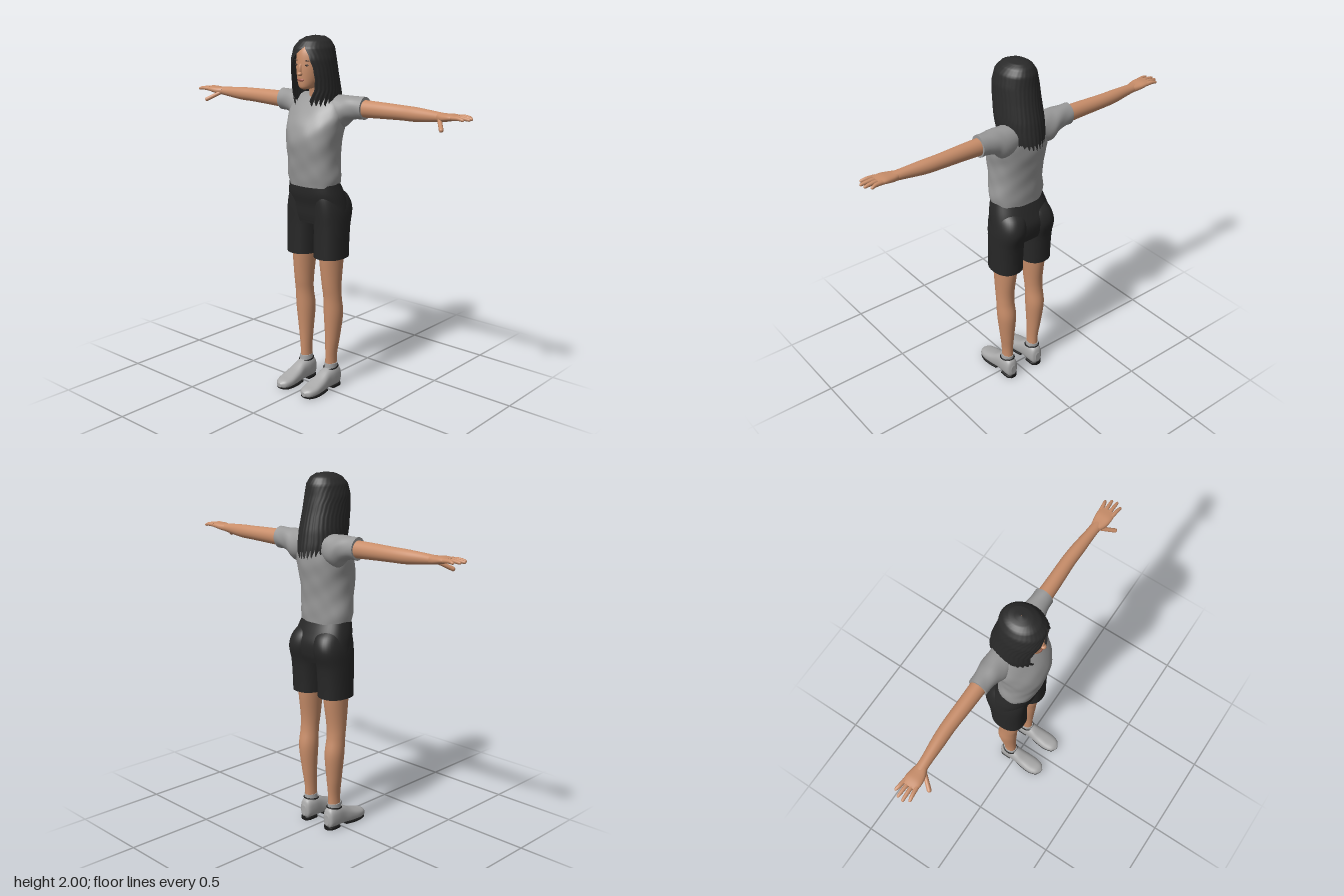
import * as THREE from 'three';

const flat = (name, color, side = THREE.FrontSide) => {
  const m = new THREE.MeshStandardMaterial({ color, side });
  m.name = name;
  return m;
};

// indexed geometry with smooth normals
function indexed(pos, idx) {
  const g = new THREE.BufferGeometry();
  g.setAttribute('position', new THREE.Float32BufferAttribute(pos, 3));
  g.setIndex(idx);
  g.computeVertexNormals();
  return g;
}

// smooth loft through stations [cx, cy, cz, a, b], rings perpendicular to an axis, flat caps
function loft(axis, stations, { n = 2, seg = 28, rows = 6, warp } = {}) {
  const centre = new THREE.CatmullRomCurve3(stations.map(s => new THREE.Vector3(s[0], s[1], s[2])), false, 'catmullrom', 0.5);
  const size = new THREE.CatmullRomCurve3(stations.map(s => new THREE.Vector3(s[3], s[4], 0)), false, 'catmullrom', 0.5);
  const count = (stations.length - 1) * rows, pos = [], idx = [];
  const bend = v => Math.sign(v) * Math.abs(v) ** (2 / n);
  for (let i = 0; i <= count; i++) {
    const c = centre.getPoint(i / count), r = size.getPoint(i / count);
    for (let j = 0; j < seg; j++) {
      const t = (j / seg) * Math.PI * 2;
      const k = warp ? warp(t, c) : 1;
      const p = r.x * bend(Math.cos(t)) * k, q = r.y * bend(Math.sin(t)) * k;
      if (axis === 'y') pos.push(c.x + p, c.y, c.z + q);
      else if (axis === 'x') pos.push(c.x, c.y + p, c.z - q);
      else pos.push(c.x + p, c.y - q, c.z);
    }
  }
  for (let i = 0; i < count; i++) for (let j = 0; j < seg; j++) {
    const a = i * seg + j, b = i * seg + (j + 1) % seg;
    idx.push(a, a + seg, b, b, a + seg, b + seg);
  }
  for (const end of [0, count]) {
    const base = pos.length / 3, c = centre.getPoint(end / count);
    pos.push(...pos.slice(end * seg * 3, (end + 1) * seg * 3), c.x, c.y, c.z);
    for (let j = 0; j < seg; j++) {
      const a = base + j, b = base + (j + 1) % seg;
      if (end) idx.push(base + seg, b, a); else idx.push(base + seg, a, b);
    }
  }
  return indexed(pos, idx);
}

function mirrored(geo) {
  const g = geo.clone().scale(-1, 1, 1), ix = g.index.array;
  for (let i = 0; i < ix.length; i += 3) [ix[i], ix[i + 1]] = [ix[i + 1], ix[i]];
  return g;
}

const blob = (x, y, z, sx, sy, sz) => new THREE.SphereGeometry(1, 16, 12).scale(sx, sy, sz).translate(x, y, z);

// linear lookup in a table of rows [y, ...values], y falling
function lookup(table, y) {
  let i = 0;
  while (i < table.length - 2 && table[i + 1][0] > y) i++;
  const a = table[i], b = table[i + 1];
  const t = THREE.MathUtils.clamp((a[0] - y) / (a[0] - b[0]), 0, 1);
  return a.map((v, k) => v + (b[k] - v) * t);
}

// hair shell: open around the face, ragged at the ends
function hairGeometry() {
  // y, half width, front z, back z
  const shape = [[2, 0.002, -0.008, -0.012], [1.993, 0.045, 0.045, -0.07], [1.975, 0.075, 0.085, -0.1],
    [1.94, 0.1, 0.118, -0.12], [1.88, 0.114, 0.132, -0.127], [1.8, 0.118, 0.13, -0.143],
    [1.7, 0.122, 0.118, -0.167], [1.62, 0.118, 0.1, -0.18], [1.54, 0.1, 0.09, -0.187]];
  // y, left and right edge of the opening
  const opening = [[1.945, 0.03, 0.03], [1.9, 0.058, -0.025], [1.84, 0.077, -0.066], [1.78, 0.083, -0.08],
    [1.72, 0.078, -0.075], [1.65, 0.045, -0.042]];
  const cols = 112, rows = 36, pos = [], idx = [];
  for (let i = 0; i <= rows; i++) for (let j = 0; j <= cols; j++) {
    const u = j / cols, v = i / rows;
    const bottom = 1.65 - 0.08 * Math.sin(Math.PI * u) ** 3;
    const ragged = 0.045 * Math.abs((j % 4) / 2 - 1) * (0.6 + 0.4 * Math.sin(j * 1.7)) - 0.015;
    const y = 2 - (2 - bottom) * v ** 1.6 + ragged * v ** 9;
    const [, w, f, b] = lookup(shape, y), [, l, r] = lookup(opening, y);
    const start = Math.asin(Math.min(l / w, 1)), end = Math.PI * 2 + Math.asin(THREE.MathUtils.clamp(r / w, -1, 1));
    const t = start + (end - start) * u, k = 1 + 0.012 * Math.sin(j * Math.PI / 2) * v;
    pos.push(w * Math.sin(t) * k, y, (f + b) / 2 + (f - b) / 2 * Math.cos(t) * k);
  }
  for (let i = 0; i < rows; i++) for (let j = 0; j < cols; j++) {
    const a = i * (cols + 1) + j, c = a + cols + 1;
    idx.push(a, c, a + 1, a + 1, c, c + 1);
  }
  return indexed(pos, idx);
}

export function createModel() {
  const root = new THREE.Group();
  root.name = 'standingWoman';
  const skin = flat('skin', 0xc98e6a), shirt = flat('shirtGrey', 0x999999), shoe = flat('shoeGrey', 0xa9a9a9);
  const black = flat('shortsBlack', 0x272727), hairMat = flat('hairBlack', 0x2a2a2a, THREE.DoubleSide);
  const sole = flat('soleBlack', 0x1c1c1c), lip = flat('lips', 0xa8604f), eye = flat('eyeDark', 0x40332c);

  const add = (name, geo, mat) => {
    const m = new THREE.Mesh(geo, mat);
    m.name = name;
    root.add(m);
  };
  const pair = (name, geo, mat) => {
    add(name + 'Left', geo, mat);
    add(name + 'Right', mirrored(geo), mat);
  };

  // head and face
  add('head', loft('y', [[0, 1.722, 0.062, 0.018, 0.03], [0, 1.735, 0.048, 0.042, 0.058], [0, 1.78, 0.022, 0.066, 0.088],
    [0, 1.85, 0.01, 0.08, 0.1], [0, 1.92, 0, 0.08, 0.1], [0, 1.965, -0.005, 0.055, 0.07], [0, 1.98, -0.005, 0.01, 0.015]]), skin);
  add('neck', loft('y', [[0, 1.62, -0.05, 0.065, 0.06], [0, 1.7, -0.04, 0.052, 0.055], [0, 1.78, -0.02, 0.05, 0.055]]), skin);
  add('noseBridge', blob(0, 1.828, 0.108, 0.009, 0.03, 0.012), skin);
  add('noseTip', blob(0, 1.804, 0.114, 0.014, 0.011, 0.015), skin);
  add('lips', blob(0, 1.772, 0.106, 0.023, 0.008, 0.008), lip);
  pair('eye', blob(0.034, 1.85, 0.1, 0.014, 0.005, 0.004), eye);
  pair('eyebrow', blob(0.035, 1.873, 0.099, 0.019, 0.0035, 0.004), eye);
  add('hair', hairGeometry(), hairMat);

  // shirt with gentle folds
  const folds = (t, c) => 1 + 0.012 * Math.sin(5 * t + c.y * 30) * Math.sin(c.y * 23) + 0.008 * Math.sin(9 * t - c.y * 41);
  add('shirtBody', loft('y', [[0, 1.195, -0.005, 0.15, 0.105], [0, 1.25, -0.002, 0.158, 0.112], [0, 1.34, 0.002, 0.151, 0.121],
    [0, 1.44, 0.002, 0.155, 0.134], [0, 1.52, -0.012, 0.168, 0.13], [0, 1.59, -0.032, 0.175, 0.108],
    [0, 1.645, -0.05, 0.16, 0.083], [0, 1.68, -0.058, 0.11, 0.062], [0, 1.697, -0.055, 0.068, 0.055]],
  { n: 2.3, seg: 56, warp: folds }), shirt);
  pair('sleeve', loft('x', [[0.07, 1.615, -0.062, 0.075, 0.07], [0.15, 1.603, -0.065, 0.086, 0.074],
    [0.2, 1.623, -0.067, 0.068, 0.064], [0.25, 1.63, -0.069, 0.06, 0.055], [0.295, 1.631, -0.07, 0.06, 0.052]],
  { warp: (t, c) => 1 + 0.015 * Math.sin(4 * t + c.x * 50) }), shirt);

  // arms and hands
  pair('arm', loft('x', [[0.26, 1.628, -0.07, 0.047, 0.043], [0.4, 1.63, -0.072, 0.043, 0.04], [0.53, 1.631, -0.075, 0.039, 0.037],
    [0.62, 1.631, -0.072, 0.037, 0.035], [0.72, 1.633, -0.066, 0.029, 0.029], [0.79, 1.635, -0.062, 0.022, 0.028]]), skin);
  pair('palm', loft('x', [[0.765, 1.634, -0.062, 0.022, 0.028], [0.8, 1.636, -0.058, 0.021, 0.039],
    [0.84, 1.641, -0.057, 0.018, 0.045], [0.88, 1.643, -0.057, 0.012, 0.042]], { n: 2.4 }), skin);
  [[-0.09, -0.1, 0.93], [-0.068, -0.072, 0.95], [-0.046, -0.043, 0.955], [-0.024, -0.014, 0.938]].forEach(([z0, z1, x], i) => {
    pair('finger' + (i + 1), loft('x', [[0.86, 1.643, z0, 0.012, 0.012], [0.9, 1.645, (z0 + z1) / 2, 0.0105, 0.0105],
      [x - 0.008, 1.641, z1, 0.008, 0.008], [x, 1.64, z1, 0.002, 0.002]], { seg: 12, rows: 4 }), skin);
  });
  const thumbFrom = new THREE.Vector3(0.785, 1.622, -0.035), thumbTo = new THREE.Vector3(0.833, 1.587, 0.02);
  const thumbDir = thumbTo.clone().sub(thumbFrom);
  const thumb = new THREE.CapsuleGeometry(0.0115, thumbDir.length(), 6, 12);
  thumb.applyQuaternion(new THREE.Quaternion().setFromUnitVectors(new THREE.Vector3(0, 1, 0), thumbDir.clone().normalize()));
  const mid = thumbFrom.clone().add(thumbTo).multiplyScalar(0.5);
  pair('thumb', thumb.translate(mid.x, mid.y, mid.z), skin);

  // shorts
  add('shortsHips', loft('y', [[0, 0.985, -0.038, 0.172, 0.1], [0, 1.03, -0.04, 0.183, 0.112], [0, 1.09, -0.038, 0.179, 0.118],
    [0, 1.15, -0.02, 0.17, 0.114], [0, 1.215, -0.003, 0.152, 0.1]], { n: 2.3, seg: 48 }), black);
  pair('shortsLeg', loft('y', [[0.0985, 0.792, -0.032, 0.087, 0.102], [0.0985, 0.88, -0.034, 0.087, 0.104],
    [0.0985, 0.97, -0.038, 0.087, 0.109], [0.096, 1.06, -0.047, 0.086, 0.122], [0.085, 1.13, -0.036, 0.08, 0.112],
    [0.075, 1.18, -0.01, 0.06, 0.08]], { n: 2.3, seg: 36 }), black);

  // legs
  pair('leg', loft('y', [[0.094, 0.1, -0.04, 0.031, 0.038], [0.095, 0.2, -0.04, 0.03, 0.039], [0.1, 0.31, -0.045, 0.04, 0.047],
    [0.104, 0.45, -0.047, 0.053, 0.058], [0.105, 0.55, -0.037, 0.051, 0.054], [0.103, 0.63, -0.031, 0.053, 0.06],
    [0.1, 0.76, -0.032, 0.06, 0.076], [0.099, 0.84, -0.032, 0.064, 0.082]]), skin);

  // shoes, socks and soles
  pair('sock', loft('y', [[0.094, 0.08, -0.038, 0.038, 0.045], [0.094, 0.12, -0.039, 0.035, 0.042], [0.095, 0.153, -0.04, 0.034, 0.042]]), shoe);
  pair('shoe', loft('z', [[0.094, 0.06, -0.1, 0.016, 0.03], [0.094, 0.067, -0.085, 0.036, 0.057], [0.094, 0.073, -0.04, 0.043, 0.063],
    [0.094, 0.066, 0.015, 0.043, 0.056], [0.094, 0.05, 0.07, 0.049, 0.042], [0.094, 0.038, 0.13, 0.051, 0.031],
    [0.093, 0.032, 0.175, 0.039, 0.024], [0.092, 0.029, 0.197, 0.012, 0.012]], { n: 2.5 }), shoe);
  pair('shoeRim', new THREE.TorusGeometry(0.038, 0.004, 8, 28).rotateX(Math.PI / 2 + 0.15).scale(1, 1, 1.15).translate(0.094, 0.126, -0.039), sole);
  pair('heel', loft('z', [[0.094, 0.011, -0.1, 0.018, 0.011], [0.094, 0.011, -0.08, 0.036, 0.011], [0.094, 0.011, -0.025, 0.038, 0.011]], { n: 4 }), sole);
  pair('frontSole', loft('z', [[0.094, 0.011, 0.03, 0.038, 0.008], [0.094, 0.008, 0.08, 0.046, 0.008], [0.094, 0.008, 0.13, 0.048, 0.008],
    [0.093, 0.01, 0.175, 0.036, 0.008], [0.092, 0.014, 0.193, 0.012, 0.006]], { n: 4 }), sole);
  return root;
}
